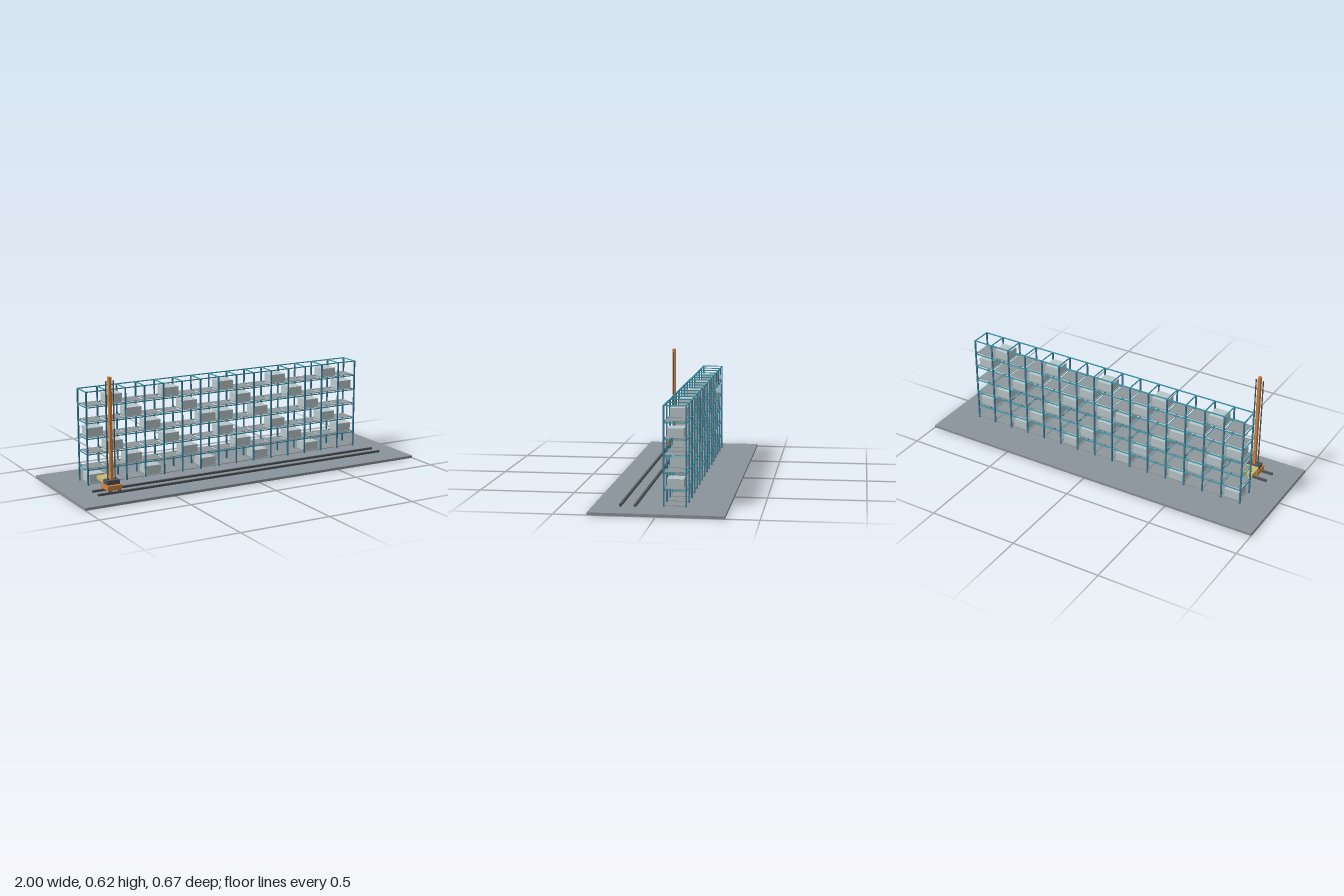
import * as THREE from 'three';

const mat = (name, color) => {
  const m = new THREE.MeshStandardMaterial({ color });
  m.name = name;
  return m;
};

export function createModel() {
  const root = new THREE.Group();
  root.name = 'storageRackWithCrane';

  const floorGrey = mat('floor grey', 0x8a949b);
  const uprightBlue = mat('upright blue', 0x417f99);
  const beamTeal = mat('beam teal', 0x3f9aac);
  const shelfGrey = mat('shelf grey', 0x8f979b);
  const binGrey = mat('bin pale grey', 0xbac7ca);
  const darkSteel = mat('dark steel', 0x50555a);
  const craneOrange = mat('crane orange', 0xcf8640);
  const forkYellow = mat('fork yellow', 0xccbd70);

  // box given by its lower and upper limits on each axis
  const box = (parent, name, material, [x0, x1], [y0, y1], [z0, z1]) => {
    const mesh = new THREE.Mesh(new THREE.BoxGeometry(x1 - x0, y1 - y0, z1 - z0), material);
    mesh.position.set((x0 + x1) / 2, (y0 + y1) / 2, (z0 + z1) / 2);
    mesh.name = name;
    parent.add(mesh);
    return mesh;
  };
  const around = (c, size) => [c - size / 2, c + size / 2];
  const group = (name) => {
    const g = new THREE.Group();
    g.name = name;
    root.add(g);
    return g;
  };

  const floorTop = 0.0135;
  box(root, 'floorSlab', floorGrey, [-1, 1], [0, floorTop], [-0.333, 0.333]);

  // Rack: 15 bays, 6 levels
  const rack = group('rack');
  const bays = 15, levels = 6, pitch = 1.6667 / bays, rise = 0.0834;
  const zFront = -0.0163, zBack = -0.1273, zMid = (zFront + zBack) / 2;
  const postX = (i) => (i - bays / 2) * pitch;
  const bayX = (i) => postX(i + 0.5);

  for (let i = 0; i <= bays; i++) {
    for (const z of [zFront, zBack])
      box(rack, 'upright', uprightBlue, around(postX(i), 0.0075), [floorTop, 0.5145], around(z, 0.0075));
    for (let l = 1; l <= levels; l++)
      box(rack, 'crossTie', beamTeal, around(postX(i), 0.005),
        around(0.0125 + l * rise, 0.005), [zBack, zFront]);
  }
  for (let l = 1; l <= levels; l++)
    for (const z of [zFront, zBack])
      box(rack, 'longBeam', beamTeal, [postX(0), postX(bays)], around(0.0125 + l * rise, 0.005), around(z, 0.006));

  // Shelves and the bins stored on a diagonal pattern
  for (let l = 0; l < levels; l++) {
    const y = 0.0185 + l * rise;
    for (let b = 0; b < bays; b++) {
      box(rack, 'shelf', shelfGrey, around(bayX(b), 0.098), around(y, 0.003), around(zMid, 0.098));
      if ((b + l) % 3 === 0 || (b === 7 && l === 3))
        box(rack, 'bin', binGrey, around(bayX(b), 0.085), [y + 0.0025, y + 0.0485], around(zMid, 0.083));
    }
  }

  // Crane rails
  const railZ = [0.12, 0.193];
  for (const z of railZ)
    box(root, 'rail', darkSteel, [-0.87, 0.87], [0.0185, 0.029], around(z, 0.0125));

  // Stacker crane parked at the first bay
  const crane = group('stackerCrane');
  const cx = bayX(0);
  box(crane, 'chassis', craneOrange, around(cx, 0.08), [0.0365, 0.0625], [0.114, 0.198]);
  box(crane, 'driveHousing', darkSteel, around(cx, 0.07), [0.0625, 0.0855], [0.132, 0.181]);
  box(crane, 'mast', craneOrange, around(cx, 0.015), [0.0625, 0.62], [0.146, 0.166]);
  box(crane, 'loadPlatform', forkYellow, around(cx, 0.075), [0.0655, 0.0835], [0.052, 0.132]);
  box(crane, 'forkBracket', craneOrange, around(cx, 0.055), [0.0545, 0.0635], [0.103, 0.114]);

  for (const side of [-1, 1]) {
    box(crane, 'mastGuide', darkSteel, around(cx + side * 0.0205, 0.005), [0.0625, 0.601], around(0.1565, 0.005));
    box(crane, 'fork', forkYellow, around(cx + side * 0.02, 0.009), [0.0585, 0.0625], [0.034, 0.114]);
    for (const z of railZ) {
      const wheel = new THREE.Mesh(new THREE.CylinderGeometry(0.008, 0.008, 0.008, 16), darkSteel);
      wheel.rotation.x = Math.PI / 2;
      wheel.position.set(cx + side * 0.026, 0.036, z);
      wheel.name = 'wheel';
      crane.add(wheel);
    }
  }

  return root;
}
